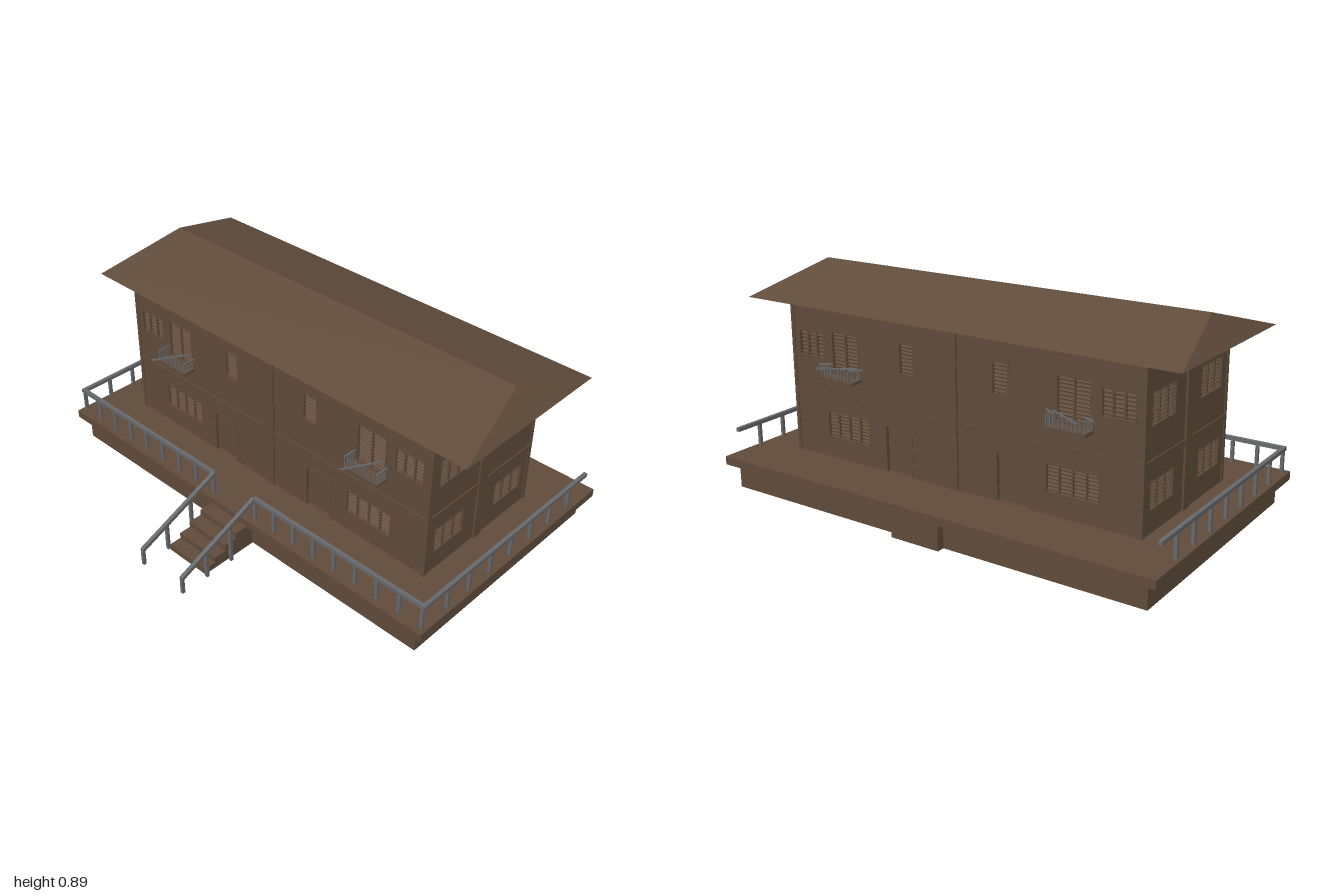
import * as THREE from 'three';

const brown = new THREE.MeshStandardMaterial({ color: 0x604c3b });
brown.name = 'timber brown';
const grey = new THREE.MeshStandardMaterial({ color: 0x68696c });
grey.name = 'rail grey';

function box(parent, name, w, h, d, x, y, z, mat = brown) {
  const m = new THREE.Mesh(new THREE.BoxGeometry(w, h, d), mat);
  m.name = name;
  m.position.set(x, y, z);
  parent.add(m);
  return m;
}

function group(parent, name) {
  const g = new THREE.Group();
  g.name = name;
  parent.add(g);
  return g;
}

// Square bar between two points
function bar(parent, name, a, b, t, mat = grey) {
  const p = new THREE.Vector3(...a), q = new THREE.Vector3(...b);
  const m = box(parent, name, t, t, p.distanceTo(q), 0, 0, 0, mat);
  m.position.copy(p).lerp(q, 0.5);
  m.lookAt(q);
  return m;
}

// Trim, mullions and tilted slats filling a recessed opening
function louvres(parent, o) {
  const g = group(parent, o.name);
  const h = o.y1 - o.y0, cy = (o.y0 + o.y1) / 2;
  box(g, 'backPanel', o.w, h, 0.004, o.x, cy, -0.018);
  for (const s of [-1, 1]) {
    box(g, 'frameSide', 0.006, h, 0.014, o.x + s * (o.w / 2 - 0.003), cy, -0.006);
    box(g, 'frameRail', o.w, 0.006, 0.014, o.x, cy + s * (h / 2 - 0.003), -0.006);
  }
  for (let i = 1; i < o.panes; i++) {
    box(g, 'mullion', 0.007, h, 0.012, o.x - o.w / 2 + (o.w * i) / o.panes, cy, -0.008);
  }
  const n = Math.round(h / 0.015);
  for (let i = 1; i < n; i++) {
    box(g, 'slat', o.w - 0.01, 0.003, 0.012, o.x, o.y0 + (h * i) / n, -0.012).rotation.x = 0.5;
  }
}

// Recessed panelled door with a knob
function door(parent, o) {
  const g = group(parent, o.name);
  const h = o.y1 - o.y0, cy = (o.y0 + o.y1) / 2;
  box(g, 'doorLeaf', o.w, h, 0.006, o.x, cy, -0.015);
  for (const s of [-1, 1]) box(g, 'doorJamb', 0.007, h, 0.016, o.x + s * (o.w / 2 - 0.0035), cy, -0.006);
  box(g, 'doorHead', o.w, 0.007, 0.016, o.x, o.y1 - 0.0035, -0.006);
  box(g, 'doorKnob', 0.006, 0.006, 0.006, o.x + o.w * 0.36, cy - 0.01, -0.009);
}

// Small balcony with a slab, balusters and a handrail
function balcony(parent, x) {
  const g = group(parent, 'balcony');
  const w = 0.165, d = 0.06, y = 0.485;
  box(g, 'balconySlab', w, 0.012, d, x, y + 0.006, d / 2);
  bar(g, 'balconyRail', [x - w / 2, 0.543, d - 0.004], [x + w / 2, 0.543, d - 0.004], 0.006);
  for (let i = 0; i <= 9; i++) {
    box(g, 'baluster', 0.004, 0.05, 0.004, x - w / 2 + 0.003 + (i * (w - 0.006)) / 9, 0.518, d - 0.004, grey);
  }
  for (const s of [-1, 1]) {
    const px = x + s * (w / 2 - 0.003);
    bar(g, 'balconySideRail', [px, 0.543, 0], [px, 0.543, d], 0.006);
    for (const z of [0.01, 0.025, 0.04]) box(g, 'baluster', 0.004, 0.05, 0.004, px, 0.518, z, grey);
  }
}

const Y0 = 0.134, Y1 = 0.778;

// A wall whose outer face is local z = 0, with openings cut through
function wall(parent, name, width, openings, columnReach) {
  const g = group(parent, name);
  const rect = (T, x, y0, y1, w) => {
    const s = new T();
    s.moveTo(x - w / 2, y0);
    s.lineTo(x + w / 2, y0);
    s.lineTo(x + w / 2, y1);
    s.lineTo(x - w / 2, y1);
    s.closePath();
    return s;
  };
  const shape = rect(THREE.Shape, 0, Y0, Y1, width);
  for (const o of openings) {
    shape.holes.push(rect(THREE.Path, o.x, o.y0, o.y1, o.w));
    (o.name === 'door' ? door : louvres)(g, o);
  }
  const geo = new THREE.ExtrudeGeometry(shape, { depth: 0.02, bevelEnabled: false });
  geo.translate(0, 0, -0.02);
  const m = new THREE.Mesh(geo, brown);
  m.name = 'wallPanel';
  g.add(m);
  box(g, 'centreColumn', 0.048, Y1 - Y0, 0.02, 0, (Y0 + Y1) / 2, columnReach - 0.01);
  box(g, 'floorBand', width, 0.026, 0.012, 0, 0.4, -0.001);
  return g;
}

// Hipped roof from four eave corners and two ridge ends
function roof(parent) {
  const e = 0.776, r = 0.888;
  const A = [-0.975, e, 0.2], B = [0.993, e, 0.2], C = [0.993, e, -0.572], D = [-0.975, e, -0.572];
  const L = [-0.89, r, -0.186], R = [0.91, r, -0.186];
  const faces = [A, B, R, A, R, L, C, D, L, C, L, R, B, C, R, D, A, L, A, D, C, A, C, B];
  const geo = new THREE.BufferGeometry();
  geo.setAttribute('position', new THREE.Float32BufferAttribute(faces.flat(), 3));
  geo.computeVertexNormals();
  const m = new THREE.Mesh(geo, brown);
  m.name = 'roof';
  parent.add(m);
}

export function createModel() {
  const model = new THREE.Group();
  model.name = 'house';

  // Raised platform
  box(model, 'foundation', 1.91, 0.1, 1.078, 0, 0.05, -0.181);
  box(model, 'deck', 2, 0.035, 1.143, 0, 0.1175, -0.1815);
  box(model, 'rearBlock', 0.22, 0.1, 0.04, 0, 0.05, -0.733);

  // Front steps
  const steps = group(model, 'steps');
  [[0.106, 0.45], [0.08, 0.51], [0.053, 0.565], [0.027, 0.62]].forEach(([h, z]) =>
    box(steps, 'step', 0.21, h, z - 0.35, 0, h / 2, (z + 0.35) / 2));

  // House walls
  const cz = -0.182;
  const house = group(model, 'houseBody');
  const long = [], short = [];
  for (const s of [-1, 1]) {
    long.push(
      { name: 'window', x: s * 0.53, y0: 0.22, y1: 0.335, w: 0.23, panes: 4 },
      { name: 'door', x: s * 0.268, y0: Y0 + 0.002, y1: 0.335, w: 0.14 },
      { name: 'window', x: s * 0.712, y0: 0.55, y1: 0.66, w: 0.14, panes: 3 },
      { name: 'balconyDoor', x: s * 0.533, y0: 0.5, y1: 0.675, w: 0.145, panes: 2 },
      { name: 'window', x: s * 0.219, y0: 0.55, y1: 0.68, w: 0.076, panes: 1 });
    short.push(
      { name: 'window', x: s * 0.188, y0: 0.22, y1: 0.337, w: 0.185, panes: 3 },
      { name: 'window', x: s * 0.188, y0: 0.53, y1: 0.66, w: 0.18, panes: 3 });
  }
  for (const s of [-1, 1]) {
    const w = wall(house, s > 0 ? 'frontWall' : 'backWall', 1.63, long, 0.008);
    w.position.z = cz + s * 0.326;
    w.rotation.y = s > 0 ? 0 : Math.PI;
    for (const x of [-0.533, 0.533]) balcony(w, x);
    const v = wall(house, s > 0 ? 'leftWall' : 'rightWall', 0.648, short, 0.008);
    v.position.set(s * 0.815, 0, cz);
    v.rotation.y = (s * Math.PI) / 2;
    for (const t of [-1, 1]) {
      box(house, 'cornerPost', 0.016, Y1 - Y0, 0.016, s * 0.811, (Y0 + Y1) / 2, cz + t * 0.322);
    }
  }
  roof(model);

  // Deck and stair railings, mirrored left and right
  for (const s of [-1, 1]) {
    const g = group(model, s > 0 ? 'leftRailing' : 'rightRailing');
    const T = 0.016, y = 0.238, zf = 0.356, xs = s * 0.98, xi = s * 0.117;
    const post = (x, z, y0, y1) => box(g, 'railPost', 0.013, y1 - y0, 0.013, x, (y0 + y1) / 2, z, grey);
    bar(g, 'frontRail', [s * 0.988, y, zf], [xi, y, zf], T);
    bar(g, 'sideRail', [xs, y, zf + 0.008], [xs, y, -0.695], T);
    for (let i = 0; i <= 8; i++) post(s * (0.122 + 0.1068 * i), zf, Y0, y);
    for (let i = 1; i <= 7; i++) post(xs, 0.345 - 0.1315 * i, Y0, y);
    bar(g, 'stairRail', [xi, y, zf], [xi, 0.073, 0.752], T);
    post(xi, 0.49, 0, 0.18);
    post(xi, 0.62, 0, 0.126);
    post(xi, 0.748, 0, 0.074);
  }
  return model;
}
